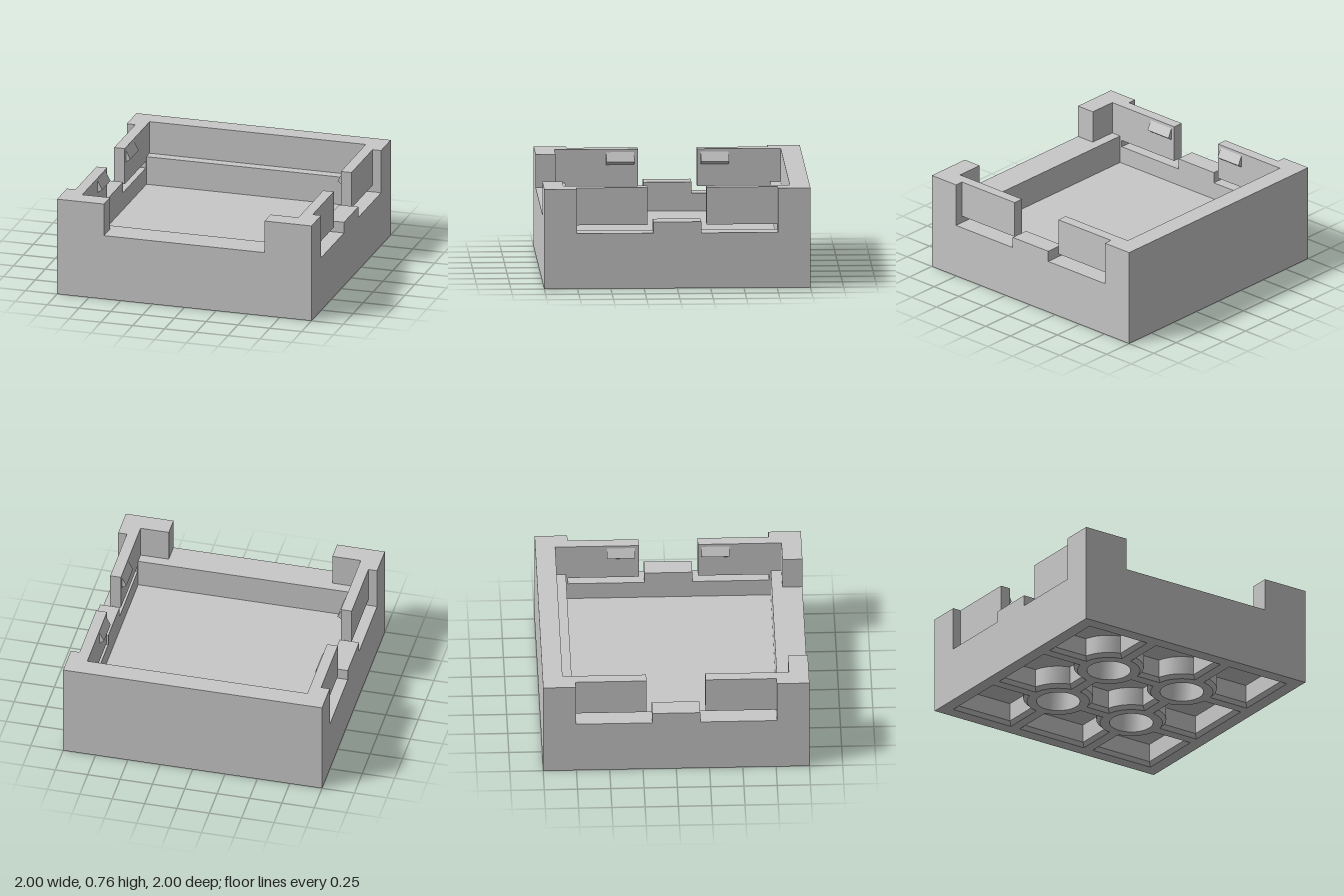
import * as THREE from 'three';
import { toCreasedNormals } from 'three/addons/utils/BufferGeometryUtils.js';

const FLOOR = 0.285, NOTCH = 0.42, LEDGE = 0.505, TOP = 0.757;
const CEIL = 0.17, CHAMFER = 0.028, TUBE = 0.235, HOLE = 0.163, RIB = 0.04;

const toShape = (pts) => new THREE.Shape(pts.map(([x, z]) => new THREE.Vector2(x, z)));
const rect = (x0, x1, z0, z1) => [[x0, z0], [x1, z0], [x1, z1], [x0, z1]];

// Plan outline (x, z) raised from y0 to y1
function slab(pts, y0, y1, hole) {
  const shape = toShape(pts);
  if (hole) shape.holes.push(toShape(hole));
  const g = new THREE.ExtrudeGeometry(shape, { depth: y1 - y0, bevelEnabled: false });
  return g.rotateX(Math.PI / 2).translate(0, y1, 0);
}

// Flat face at height y that faces down
const downFace = (shape, y) => new THREE.ShapeGeometry(shape).rotateX(Math.PI / 2).translate(0, y, 0);

// Walls between stacked loops, facing the inside of the loop
function walls(loops) {
  const v = [];
  for (let k = 0; k + 1 < loops.length; k++) {
    const [lo, hi] = [loops[k], loops[k + 1]], n = lo.pts.length;
    for (let i = 0; i < n; i++) {
      const j = (i + 1) % n;
      const a = [lo.pts[i][0], lo.y, lo.pts[i][1]], b = [lo.pts[j][0], lo.y, lo.pts[j][1]];
      const c = [hi.pts[j][0], hi.y, hi.pts[j][1]], d = [hi.pts[i][0], hi.y, hi.pts[i][1]];
      v.push(...a, ...b, ...c, ...a, ...c, ...d);
    }
  }
  const g = new THREE.BufferGeometry();
  g.setAttribute('position', new THREE.Float32BufferAttribute(v, 3));
  return toCreasedNormals(g, 0.5);
}

// Underside pocket outline, rounded around each neighbouring tube
function pocket(ci, cj, inset) {
  const pts = [], h = RIB + inset, R = TUBE + inset;
  for (const [sx, sz] of [[1, 1], [-1, 1], [-1, -1], [1, -1]]) {
    const tx = (ci + sx / 2) * 2 / 3, tz = (cj + sz / 2) * 2 / 3;
    const inX = Math.abs(ci + sx) <= 1, inZ = Math.abs(cj + sz) <= 1;
    if (inX && inZ) {
      let t0 = Math.acos(h / R), t1 = Math.asin(h / R);
      if (sx * sz < 0) [t0, t1] = [t1, t0];
      for (let i = 0; i <= 10; i++) {
        const t = t0 + (t1 - t0) * i / 10;
        pts.push([tx - sx * R * Math.cos(t), tz - sz * R * Math.sin(t)]);
      }
    } else {
      pts.push([inX ? tx - sx * h : sx * (0.9 - inset), inZ ? tz - sz * h : sz * (0.9 - inset)]);
    }
  }
  return pts;
}

function circle(cx, cz, r, n = 40) {
  return Array.from({ length: n }, (_, i) => {
    const a = i / n * Math.PI * 2;
    return [cx + r * Math.cos(a), cz + r * Math.sin(a)];
  });
}

export function createModel() {
  const model = new THREE.Group();
  model.name = 'snapInTray';
  const grey = new THREE.MeshStandardMaterial({ color: 0xc8c8c8 });
  grey.name = 'plainGrey';
  const add = (name, geometry) => {
    const m = new THREE.Mesh(geometry, grey);
    m.name = name;
    model.add(m);
  };

  // Underside: ribbed face, nine chamfered pockets, four blind holes
  const square = rect(-1, 1, -1, 1);
  const base = toShape(square);
  for (const i of [-1, 0, 1]) for (const j of [-1, 0, 1]) {
    const rim = pocket(i, j, 0), inner = pocket(i, j, CHAMFER);
    base.holes.push(toShape(rim));
    add('pocketWalls', walls([{ pts: rim, y: 0 }, { pts: inner, y: CHAMFER }, { pts: inner, y: CEIL }]));
    add('pocketCeiling', downFace(toShape(inner), CEIL));
  }
  for (const x of [-1 / 3, 1 / 3]) for (const z of [-1 / 3, 1 / 3]) {
    const ring = circle(x, z, HOLE);
    base.holes.push(toShape(ring));
    add('holeWall', walls([{ pts: ring, y: 0 }, { pts: ring, y: CEIL }]));
    add('holeCeiling', downFace(toShape(ring), CEIL));
  }
  add('undersideRibs', downFace(base, 0));

  // Outer skirt, tray floor and lower frame
  const outside = [...square].reverse();
  add('skirt', walls([{ pts: outside, y: 0 }, { pts: outside, y: FLOOR }]));
  add('trayFloor', new THREE.PlaneGeometry(1.7, 1.54).rotateX(-Math.PI / 2).translate(0, FLOOR, 0));
  add('lowerFrame', slab(square, FLOOR, NOTCH, rect(-0.85, 0.85, -0.77, 0.77)));

  // Front and back ledges
  for (const s of [-1, 1]) {
    const bar = [[-1, 1], [1, 1], [1, 0.755], [0.85, 0.755], [0.85, 0.77], [-0.85, 0.77], [-0.85, 0.755], [-1, 0.755]];
    add(s > 0 ? 'frontLedge' : 'backLedge', slab(bar.map(([x, z]) => [x, z * s]), NOTCH, LEDGE));
  }

  // Full-height back wall with returned corners
  add('backWall', slab([[-1, -1], [1, -1], [1, -0.755], [0.85, -0.755], [0.85, -0.85],
    [-0.85, -0.85], [-0.85, -0.755], [-1, -0.755]], LEDGE, TOP));

  for (const s of [-1, 1]) {
    const side = s > 0 ? 'left' : 'right';
    // Front corner post and middle side block
    const corner = [[0.632, 0.85], [0.85, 0.85], [0.85, 0.755], [1, 0.755], [1, 1], [0.632, 1]];
    add(side + 'FrontCorner', slab(corner.map(([x, z]) => [x * s, z]), LEDGE, TOP));
    add(side + 'SideBlock', new THREE.BoxGeometry(0.15, LEDGE - NOTCH, 0.36)
      .translate(0.925 * s, (LEDGE + NOTCH) / 2, 0));
    // Spring clips with wedge-shaped catches
    for (const f of [-1, 1]) {
      add(side + 'Clip', new THREE.BoxGeometry(0.083, TOP - 0.473, 0.533)
        .translate(0.8915 * s, (TOP + 0.473) / 2, 0.4885 * f));
      const wedge = toShape([[0.85 * s, 0.64], [0.85 * s, 0.735], [0.815 * s, 0.665]]);
      add(side + 'Catch', new THREE.ExtrudeGeometry(wedge, { depth: 0.21, bevelEnabled: false })
        .translate(0, 0, 0.355 * f - 0.105));
    }
  }
  return model;
}
